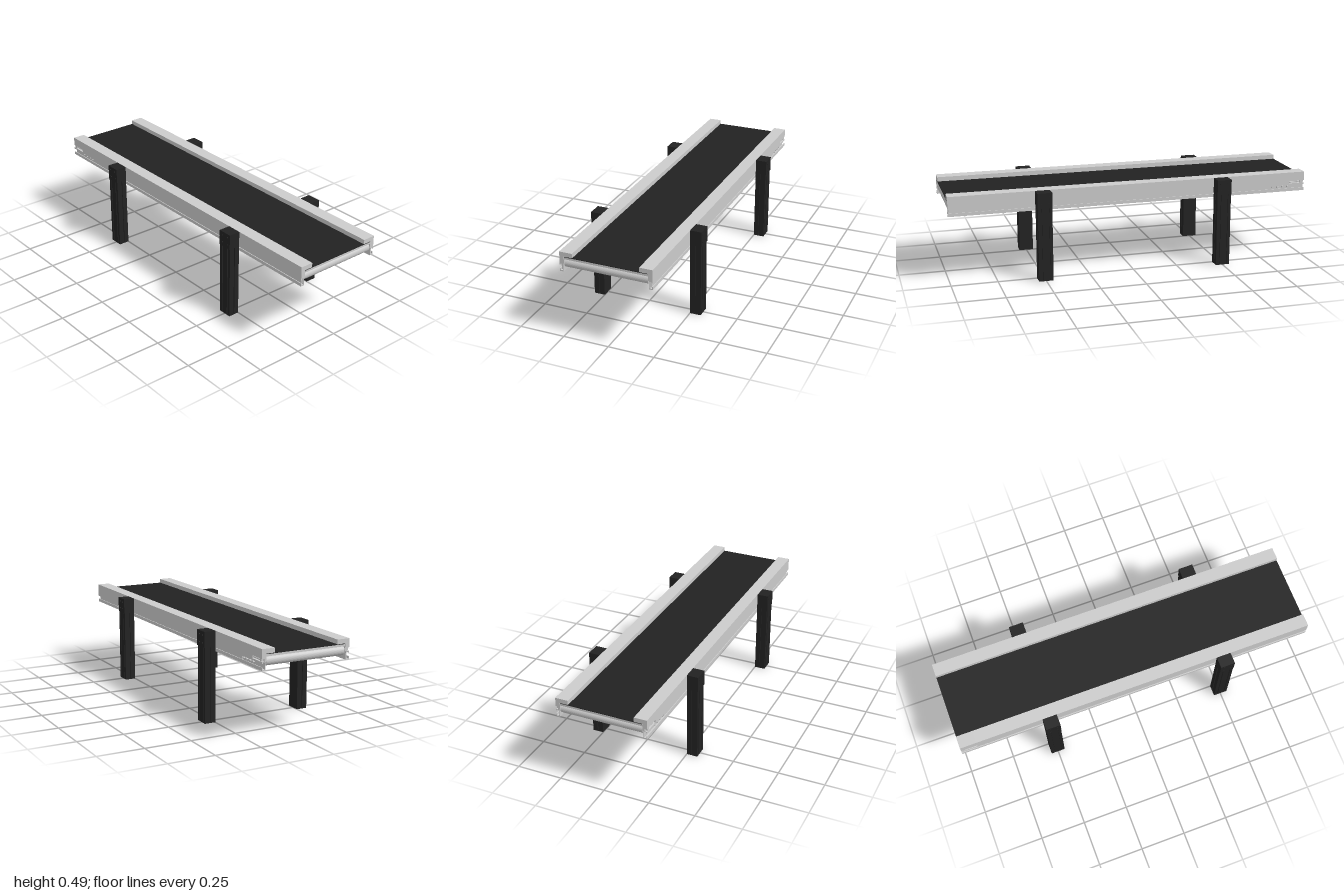
import * as THREE from 'three';

const grey = new THREE.MeshStandardMaterial({ color: 0xcccccc, side: THREE.DoubleSide });
const black = new THREE.MeshStandardMaterial({ color: 0x222222, side: THREE.DoubleSide });

function add(parent, name, geometry, material, x = 0, y = 0, z = 0) {
  const mesh = new THREE.Mesh(geometry, material);
  mesh.name = name;
  mesh.position.set(x, y, z);
  parent.add(mesh);
  return mesh;
}

const box = (w, h, d) => new THREE.BoxGeometry(w, h, d);
const polygon = pts => new THREE.Shape(pts.map(p => new THREE.Vector2(p[0], p[1])));
const extrude = (shape, depth) =>
  new THREE.ExtrudeGeometry(shape, { depth, bevelEnabled: false, curveSegments: 12 });

// Rail section: top flange, wall and outward-facing T-slot; optional notch for the tensioner
function railShape(notched) {
  const notch = notched ? [[0.25, 0.437], [0.237, 0.437], [0.237, 0.422], [0.25, 0.422]] : [];
  return polygon([
    [0.18, 0.485], [0.25, 0.485], ...notch,
    [0.25, 0.413], [0.246, 0.413], [0.246, 0.419], [0.234, 0.419],
    [0.234, 0.384], [0.246, 0.384], [0.246, 0.395], [0.25, 0.395],
    [0.25, 0.378], [0.23, 0.378], [0.23, 0.42], [0.226, 0.424],
    [0.226, 0.461], [0.18, 0.461],
  ]);
}

// Leg section: hollow rectangular profile with narrow slots in its faces
function legShape() {
  const hx = 0.03, hz = 0.039, w = 0.003, d = 0.006;
  const shape = polygon([
    [-hx, -hz], [-w, -hz], [-w, -hz + d], [w, -hz + d], [w, -hz], [hx, -hz],
    [hx, -0.02 - w], [hx - d, -0.02 - w], [hx - d, -0.02 + w], [hx, -0.02 + w],
    [hx, 0.02 - w], [hx - d, 0.02 - w], [hx - d, 0.02 + w], [hx, 0.02 + w],
    [hx, hz], [w, hz], [w, hz - d], [-w, hz - d], [-w, hz], [-hx, hz],
  ]);
  for (const z of [-0.015, 0.015]) {
    const hole = new THREE.Path();
    hole.moveTo(-0.018, z - 0.011).lineTo(-0.018, z + 0.011)
      .lineTo(0.018, z + 0.011).lineTo(0.018, z - 0.011).closePath();
    shape.holes.push(hole);
  }
  return shape;
}

function makeRail() {
  const rail = new THREE.Group();
  rail.name = 'sideRail';
  add(rail, 'railProfile', extrude(railShape(false), 1.91), grey, 0, 0, -0.91);
  add(rail, 'railNotchedEnd', extrude(railShape(true), 0.09), grey, 0, 0, -1);
  // Cover strip in the slot, stopping short of the tensioner
  add(rail, 'slotCover', box(0.006, 0.03, 1.79), grey, 0.239, 0.402, 0.1);
  for (let i = 0; i < 4; i++) {
    const bolt = add(rail, 'slotBolt', new THREE.CylinderGeometry(0.006, 0.006, 0.012, 12), grey,
      0.241, 0.404, -0.815 - i * 0.03);
    bolt.rotation.z = Math.PI / 2;
  }
  // Belt tensioner sitting in the notch
  add(rail, 'tensionerBlock', box(0.01, 0.013, 0.015), grey, 0.243, 0.4295, -0.985);
  const rod = add(rail, 'tensionerRod', new THREE.CylinderGeometry(0.003, 0.003, 0.08, 10), grey,
    0.243, 0.4295, -0.95);
  rod.rotation.x = Math.PI / 2;
  return rail;
}

function makeLeg() {
  const leg = new THREE.Group();
  leg.name = 'leg';
  const post = extrude(legShape(), 0.4);
  post.rotateX(-Math.PI / 2);
  add(leg, 'legPost', post, black, 0.28, 0.002, 0);
  add(leg, 'legFoot', box(0.06, 0.003, 0.078), black, 0.28, 0.0015, 0);
  // Clamp block joining the leg to the rail
  add(leg, 'legBracket', box(0.063, 0.083, 0.08), black, 0.2815, 0.4435, 0);
  for (const y of [0.423, 0.464]) for (const z of [-0.02, 0.02]) {
    const bolt = add(leg, 'bracketBolt', new THREE.CylinderGeometry(0.005, 0.005, 0.006, 12), black,
      0.3125, y, z);
    bolt.rotation.z = Math.PI / 2;
  }
  return leg;
}

export function createModel() {
  const model = new THREE.Group();
  model.name = 'conveyor';

  // Mirrored rails with two legs on each side
  for (const side of [1, -1]) {
    const half = new THREE.Group();
    half.name = side > 0 ? 'leftSide' : 'rightSide';
    half.add(makeRail());
    for (const z of [-0.5, 0.5]) {
      const leg = makeLeg();
      leg.position.z = z;
      half.add(leg);
    }
    half.scale.x = side;
    model.add(half);
  }

  // Bed with rounded ends, extruded across the width
  const r = 0.025, cy = 0.422, end = 0.998 - r;
  const loop = new THREE.Shape();
  loop.moveTo(-end, cy - r);
  loop.lineTo(end, cy - r);
  loop.absarc(end, cy, r, -Math.PI / 2, Math.PI / 2, false);
  loop.lineTo(-end, cy + r);
  loop.absarc(-end, cy, r, Math.PI / 2, Math.PI * 1.5, false);
  const bed = extrude(loop, 0.45);
  bed.translate(0, 0, -0.225);
  bed.rotateY(Math.PI / 2);
  add(model, 'bed', bed, grey);

  add(model, 'topPlate', box(0.45, 0.011, 2), grey, 0, 0.4525, 0);
  add(model, 'belt', box(0.446, 0.003, 2), black, 0, 0.4595, 0);

  // Roller shafts reaching into the rails
  for (const z of [-end, end]) {
    const shaft = add(model, 'rollerShaft', new THREE.CylinderGeometry(0.012, 0.012, 0.456, 20), grey, 0, cy, z);
    shaft.rotation.z = Math.PI / 2;
  }
  return model;
}
